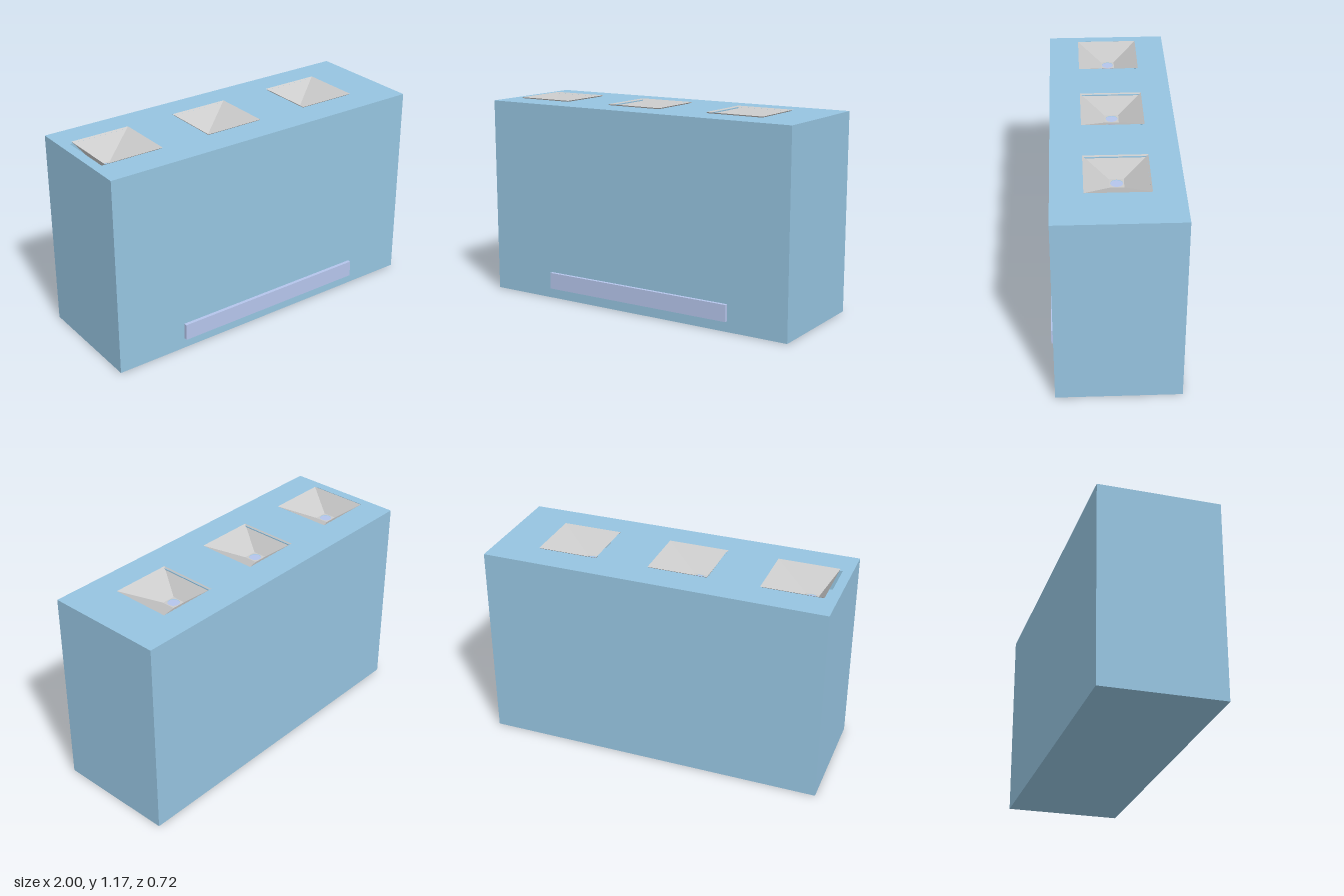
import * as THREE from 'three';

const TOP = 1.165, RIM = 1.172, BASE = 1.065, POCKET = 1.04;
const FRONT = 0.34, BACK = -0.36;
const SINK_Z = -0.0125, HALF = 0.177, DRAIN_HALF = 0.04;

const blue = new THREE.MeshStandardMaterial({ color: 0x96c4e0 });
const lavender = new THREE.MeshStandardMaterial({ color: 0xb5c5eb });
const grey = new THREE.MeshStandardMaterial({ color: 0xcccccc, flatShading: true, side: THREE.DoubleSide });

// left edge of each cut-out may be wider than its basin
const sinks = [
  { x: -0.753, drainX: -0.817, gap: 0.015 },
  { x: -0.104, drainX: -0.168, gap: -0.009 },
  { x: 0.56, drainX: 0.496, gap: -0.009 },
];

function add(parent, name, geometry, material, x = 0, y = 0, z = 0) {
  const mesh = new THREE.Mesh(geometry, material);
  mesh.name = name;
  mesh.position.set(x, y, z);
  parent.add(mesh);
  return mesh;
}

function rectangle(path, x0, x1, y0, y1) {
  path.moveTo(x0, y0).lineTo(x1, y0).lineTo(x1, y1).lineTo(x0, y1).closePath();
  return path;
}

// four sloping walls between a wide rim and a small offset base
function funnel(x, drainX) {
  const corners = [[-1, 1], [1, 1], [1, -1], [-1, -1]];
  const positions = [], index = [];
  for (const [cx, cy, cz, h] of [[x, RIM, SINK_Z, HALF], [drainX, BASE, -0.015, DRAIN_HALF]])
    for (const [sx, sz] of corners) positions.push(cx + sx * h, cy, cz + sz * h);
  for (let i = 0; i < 4; i++) {
    const j = (i + 1) % 4;
    index.push(i, j, i + 4, j, j + 4, i + 4);
  }
  const g = new THREE.BufferGeometry();
  g.setAttribute('position', new THREE.Float32BufferAttribute(positions, 3));
  g.setIndex(index);
  g.computeVertexNormals();
  return g;
}

export function createModel() {
  const model = new THREE.Group();
  model.name = 'sinkCounter';

  // solid cabinet below the basins
  add(model, 'cabinet', new THREE.BoxGeometry(2, POCKET, FRONT - BACK), blue,
    0, POCKET / 2, (FRONT + BACK) / 2);

  // worktop with three square cut-outs (shape y becomes -z)
  const outline = rectangle(new THREE.Shape(), -1, 1, -FRONT, -BACK);
  const inset = HALF - 0.009;
  for (const s of sinks)
    outline.holes.push(rectangle(new THREE.Path(), s.x - HALF - s.gap, s.x + inset, -SINK_Z - inset, -SINK_Z + inset));
  const worktop = new THREE.ExtrudeGeometry(outline, { depth: TOP - POCKET, bevelEnabled: false });
  worktop.rotateX(-Math.PI / 2);
  add(model, 'worktop', worktop, blue, 0, POCKET, 0);

  // basins with a round drain
  for (const s of sinks) {
    const sink = new THREE.Group();
    sink.name = 'sink';
    add(sink, 'basinWalls', funnel(s.x, s.drainX), grey);

    const base = rectangle(new THREE.Shape(), -DRAIN_HALF, DRAIN_HALF, -DRAIN_HALF, DRAIN_HALF);
    base.holes.push(new THREE.Path().absarc(0, 0, 0.034, 0, Math.PI * 2, true));
    const floor = new THREE.ShapeGeometry(base, 16);
    floor.rotateX(-Math.PI / 2);
    add(sink, 'basinFloor', floor, grey, s.drainX, BASE, -0.015);
    add(sink, 'drain', new THREE.CylinderGeometry(0.034, 0.034, 0.02, 24), lavender, s.drainX, BASE - 0.013, -0.015);
    model.add(sink);
  }

  // raised strip low on the front
  add(model, 'frontStrip', new THREE.BoxGeometry(1.21, 0.097, 0.02), lavender, 0.025, 0.11, FRONT + 0.01);

  return model;
}
